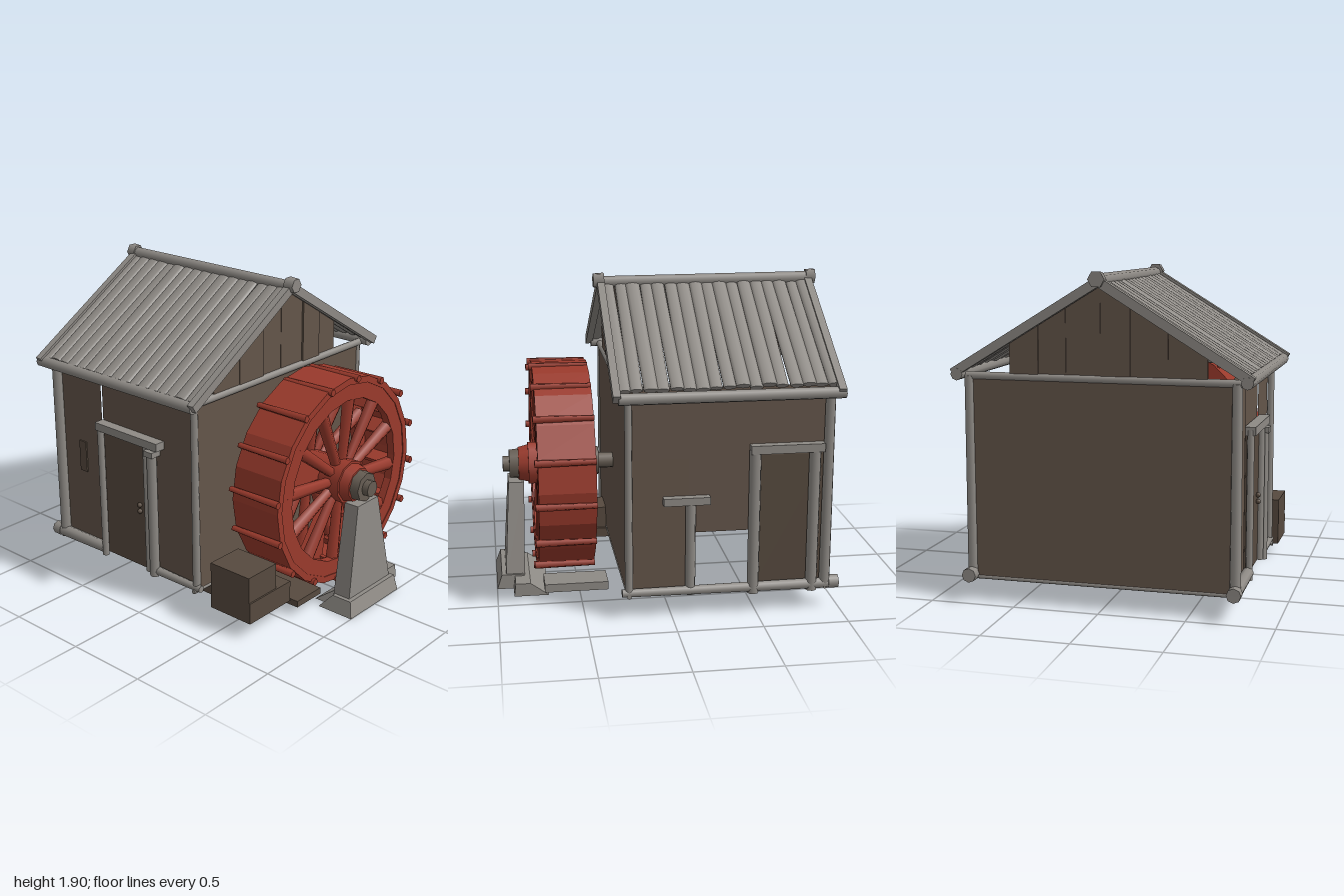
import * as THREE from 'three';

const mat = (name, color) => {
  const m = new THREE.MeshStandardMaterial({ color });
  m.name = name;
  return m;
};

export function createModel() {
  const gray = mat('weatheredTimber', 0x8e8a85);
  const brown = mat('brownBoards', 0x64554a);
  const dark = mat('darkBrown', 0x574a3f);
  const axleWood = mat('axleWood', 0x665d53);
  const red = mat('redPaint', 0x9a3a2c);
  const model = new THREE.Group();
  model.name = 'watermill';

  let seed = 7;
  const rnd = (a) => { // small repeatable jitter in -a..a
    seed = (seed * 16807) % 2147483647;
    return (seed / 2147483647 * 2 - 1) * a;
  };
  const add = (parent, name, geo, m) => {
    const mesh = new THREE.Mesh(geo, m);
    mesh.name = name;
    parent.add(mesh);
    return mesh;
  };
  const group = (name) => {
    const g = new THREE.Group();
    g.name = name;
    model.add(g);
    return g;
  };
  // Box given by its min and max corners
  const box = (parent, name, m, [x0, y0, z0], [x1, y1, z1]) => {
    const b = add(parent, name, new THREE.BoxGeometry(x1 - x0, y1 - y0, z1 - z0), m);
    b.position.set((x0 + x1) / 2, (y0 + y1) / 2, (z0 + z1) / 2);
    return b;
  };
  // Round log between two points
  const log = (parent, name, m, a, b, r0, r1 = r0, sides = 8) => {
    const p = new THREE.Vector3(...a), q = new THREE.Vector3(...b), d = q.clone().sub(p);
    const c = add(parent, name, new THREE.CylinderGeometry(r1, r0, d.length(), sides), m);
    c.position.copy(p).add(q).multiplyScalar(0.5);
    c.quaternion.setFromUnitVectors(new THREE.Vector3(0, 1, 0), d.normalize());
    return c;
  };
  // Box between two heights; each level is [x0, x1, z0, z1]
  const taperedBox = (parent, name, m, y0, y1, low, high) => {
    const g = new THREE.BoxGeometry(1, 1, 1), pos = g.attributes.position;
    for (let i = 0; i < pos.count; i++) {
      const up = pos.getY(i) > 0, l = up ? high : low;
      pos.setXYZ(i, pos.getX(i) > 0 ? l[1] : l[0], up ? y1 : y0, pos.getZ(i) > 0 ? l[3] : l[2]);
    }
    g.computeVertexNormals();
    return add(parent, name, g, m);
  };
  // One-sided wall panel, u range by y range, turned to face outward
  const panel = (parent, name, m, u0, u1, y0, y1, depth, turn) => {
    const p = add(parent, name, new THREE.PlaneGeometry(u1 - u0, y1 - y0), m);
    const u = (u0 + u1) / 2, y = (y0 + y1) / 2;
    p.rotation.y = turn;
    if (Math.abs(Math.sin(turn)) > 0.5) p.position.set(depth, y, u);
    else p.position.set(u, y, depth);
    return p;
  };

  // Walls
  const walls = group('walls');
  panel(walls, 'frontWallLeft', brown, -0.91, -0.54, 0.13, 1.34, 0.74, 0);
  panel(walls, 'frontWallCentre', brown, -0.54, -0.08, 0.13, 1.34, 0.73, 0);
  panel(walls, 'frontWallRight', brown, -0.08, 0.26, 0.13, 1.34, 0.735, 0);
  panel(walls, 'rightWall', brown, -0.77, 0.76, 0.13, 1.31, 0.26, Math.PI / 2);
  panel(walls, 'leftWall', brown, -0.77, 0.76, 0.13, 1.31, -0.92, -Math.PI / 2);
  panel(walls, 'backWallUpper', brown, -0.91, 0.26, 0.95, 1.36, -0.755, Math.PI);
  panel(walls, 'backWallSide', brown, -0.1, 0.26, 0.13, 0.95, -0.75, Math.PI);
  panel(walls, 'backWallMiddle', brown, -0.48, -0.1, 0.5, 0.95, -0.75, Math.PI);
  panel(walls, 'backDoor', dark, -0.91, -0.48, 0.13, 0.95, -0.75, Math.PI);
  const floor = add(walls, 'floor', new THREE.PlaneGeometry(1.18, 1.52), brown);
  floor.rotation.x = Math.PI / 2;
  floor.position.set(-0.33, 0.135, 0);

  // Gable boards, cut to the roof slope
  const roofY = (z) => 1.83 - 0.61 * Math.abs(z);
  for (const x of [0.24, -0.92]) {
    const cuts = [-0.53, -0.36, -0.2, 0, 0.17, 0.38, 0.6];
    for (let i = 0; i < 6; i++) {
      const a = cuts[i] + 0.001, b = cuts[i + 1] - 0.001;
      const s = new THREE.Shape([[-a, 1.3], [-a, roofY(a)], [-b, roofY(b)], [-b, 1.3]]
        .map((p) => new THREE.Vector2(...p)));
      const g = add(walls, 'gableBoard', new THREE.ExtrudeGeometry(s, { depth: 0.015, bevelEnabled: false }), brown);
      g.rotation.y = Math.PI / 2;
      g.position.x = x + rnd(0.008);
    }
  }

  // Timber frame
  const frame = group('timberFrame');
  for (const [x, r] of [[-0.91, 0.033], [0.25, 0.024]]) {
    for (const z of [-0.775, 0.76]) log(frame, 'cornerPost', gray, [x, 0.14, z], [x, 1.31, z], r, r - 0.003);
    log(frame, 'tieBeam', gray, [x, 1.31, -0.8], [x, 1.31, 0.8], 0.023);
    log(frame, 'sideSill', gray, [x, 0.14, -0.8], [x, 0.14, 0.79], 0.014);
  }
  log(frame, 'frontSillLeft', gray, [0.29, 0.162, 0.765], [-0.08, 0.162, 0.765], 0.022, 0.026);
  log(frame, 'frontSillRight', gray, [-0.99, 0.16, 0.765], [-0.53, 0.165, 0.765], 0.038, 0.034);
  log(frame, 'backSill', gray, [-0.99, 0.155, -0.775], [0.29, 0.155, -0.775], 0.034, 0.025);
  for (const z of [-0.775, 0.765]) log(frame, 'sillEnd', gray, [-0.99, 0.162, z], [-0.93, 0.162, z], 0.042);

  // Front door with frame, handle and window slot
  const door = group('frontDoor');
  box(door, 'doorPanel', dark, [-0.51, 0.14, 0.735], [-0.15, 0.98, 0.755]);
  log(door, 'doorPostRight', gray, [-0.525, 0.12, 0.77], [-0.525, 1, 0.77], 0.021);
  log(door, 'doorPostLeft', gray, [-0.135, 0.14, 0.765], [-0.135, 0.97, 0.765], 0.024);
  log(door, 'doorPostLeftOuter', gray, [-0.085, 0.13, 0.775], [-0.085, 0.93, 0.775], 0.03);
  box(door, 'postCap', gray, [-0.12, 0.915, 0.74], [-0.05, 0.95, 0.81]);
  box(door, 'lintel', gray, [-0.54, 0.965, 0.735], [-0.02, 1.015, 0.8]).rotation.z = -0.01;
  for (const y of [0.515, 0.555]) {
    const k = add(door, 'doorKnob', new THREE.SphereGeometry(0.016, 8, 6), dark);
    k.position.set(-0.21, y, 0.765);
  }
  box(door, 'windowSlot', dark, [-0.75, 0.63, 0.74], [-0.69, 0.83, 0.749]);

  // Rear doorway and short ledge post
  const rear = group('rearDoorway');
  for (const x of [-0.48, -0.83]) log(rear, 'rearDoorPost', gray, [x, 0.12, -0.775], [x, 0.99, -0.775], 0.035);
  box(rear, 'rearLintel', gray, [-0.88, 0.97, -0.81], [-0.45, 1.02, -0.74]);
  log(rear, 'ledgePost', gray, [-0.11, 0.13, -0.765], [-0.11, 0.7, -0.765], 0.03);
  box(rear, 'ledge', gray, [-0.22, 0.68, -0.8], [0.05, 0.725, -0.73]);

  // Roof of rounded planks with edge beams
  const roof = group('roof');
  const slope = Math.atan(0.61);
  for (const side of [1, -1]) {
    const zEnd = side > 0 ? 0.82 : 0.79;
    const n = 17, w = 1.28 / n;
    for (let i = 0; i < n; i++) {
      const len = Math.hypot(zEnd, 0.61 * zEnd) + rnd(0.015);
      const r = w * 0.54 + rnd(0.004);
      const p = add(roof, 'roofPlank', new THREE.CylinderGeometry(r + rnd(0.004), r, len, 10), gray);
      p.scale.z = 0.38;
      p.position.set(-0.965 + w * (i + 0.5), 1.842 - 0.61 * zEnd / 2 + rnd(0.005), side * zEnd / 2);
      p.rotation.set(side * (slope - Math.PI / 2), 0, rnd(0.012));
    }
    log(roof, 'eaveBeam', gray, [-0.98, 1.322, side * 0.825], [0.31, 1.322, side * 0.825], 0.035);
    for (const x of [-0.955, 0.32]) {
      const r = box(roof, 'rakeBeam', gray, [-0.022, -0.026, -0.5], [0.022, 0.026, 0.5]);
      r.position.set(x, 1.588, side * 0.425);
      r.rotation.x = side * slope;
    }
  }
  log(roof, 'ridgeBeam', gray, [-0.98, 1.852, 0], [0.36, 1.85, 0], 0.038, 0.034);
  for (const [x0, x1] of [[-1, -0.945], [0.3, 0.365]]) {
    log(roof, 'ridgeEnd', gray, [x0, 1.86, 0], [x1, 1.86, 0], 0.048, 0.044, 6);
  }

  // Water wheel, built about local z and turned to face +x
  const wheel = group('waterWheel');
  wheel.position.set(0.585, 0.735, -0.015);
  wheel.rotation.y = Math.PI / 2;
  const ring = (name, ro, ri, z0, z1) => {
    const s = new THREE.Shape().absarc(0, 0, ro, 0, 2 * Math.PI, false);
    s.holes.push(new THREE.Path().absarc(0, 0, ri, 0, 2 * Math.PI, true));
    const g = new THREE.ExtrudeGeometry(s, { depth: z1 - z0, bevelEnabled: false, curveSegments: 10 });
    add(wheel, name, g, red).position.z = z0;
  };
  ring('drum', 0.64, 0.6, -0.17, 0.165);
  ring('outerRim', 0.635, 0.505, 0.11, 0.16);
  ring('innerRim', 0.635, 0.505, -0.17, -0.13);
  // Solid wedges filling gaps between spokes
  for (const a of [2.5, 4.07]) {
    add(wheel, 'wheelPanel', new THREE.RingGeometry(0.1, 0.56, 4, 1, a, 0.52), red).position.z = 0.05;
  }
  // Flat spokes that widen outward
  for (let i = 0; i < 12; i++) {
    const a = i * Math.PI / 6 - 0.12, c = Math.cos(a), s = Math.sin(a);
    for (const z of [0.12, -0.12]) {
      log(wheel, 'spoke', red, [0.09 * c, 0.09 * s, z], [0.55 * c, 0.55 * s, z], 0.03, 0.042, 6);
    }
  }
  // Paddles around the drum
  for (let i = 0; i < 16; i++) {
    const a = i * Math.PI / 8 - 0.11, c = Math.cos(a), s = Math.sin(a), r = Math.abs(s) > 0.8 ? 0.63 : 0.66;
    log(wheel, 'paddleBar', red, [r * c, r * s, -0.17], [r * c, r * s, 0.185], 0.018, 0.023, 5);
    const b = add(wheel, 'bucketBoard', new THREE.BoxGeometry(0.12, 0.02, 0.3), red);
    b.position.set(0.565 * c, 0.565 * s, 0);
    b.rotation.z = a + 0.4;
  }
  log(wheel, 'hub', red, [0, 0, -0.16], [0, 0, 0.2], 0.125, 0.135, 10);
  log(wheel, 'hubCollar', red, [0, 0, 0.2], [0, 0, 0.26], 0.12, 0.105, 10);

  // Axle and bearing
  const axle = group('axle');
  const Y = 0.735, Z = -0.015;
  log(axle, 'axleShaft', axleWood, [0.25, Y, Z], [0.94, Y, Z], 0.05);
  log(axle, 'axleCollar', axleWood, [0.35, Y, Z], [0.425, Y, Z], 0.09);
  log(axle, 'bearing', axleWood, [0.8, Y, Z], [0.9, Y, Z], 0.1, 0.09);

  // Tapered outer support on a sloping base
  const support = group('wheelSupport');
  taperedBox(support, 'supportPillar', gray, 0.06, 0.645, [0.83, 0.945, -0.23, 0.19], [0.815, 0.91, -0.12, 0.08]);
  taperedBox(support, 'supportFoot', gray, 0, 0.09, [0.76, 1, -0.24, 0.24], [0.84, 0.97, -0.24, 0.21]);
  taperedBox(support, 'supportToe', gray, 0, 0.08, [0.69, 0.9, -0.37, 0.18], [0.8, 0.89, -0.37, 0.15]);

  // Stone blocks and channel slabs beneath the wheel
  const stones = group('stones');
  box(stones, 'largeBlock', dark, [0.4, 0.22, 0.56], [0.69, 0.39, 0.8]);
  box(stones, 'largeBlockBase', dark, [0.4, 0.1, 0.44], [0.7, 0.23, 0.8]);
  box(stones, 'sideBlock', dark, [0.25, 0.1, 0.42], [0.41, 0.27, 0.64]);
  box(stones, 'channelSlab', dark, [0.17, 0.07, 0.4], [0.4, 0.13, 0.65]);
  box(stones, 'channelSlab', dark, [0.4, 0.06, 0.2], [0.74, 0.1, 0.42]);
  box(stones, 'rearSlab', gray, [0.34, 0.07, -0.5], [0.72, 0.12, -0.32]);
  return model;
}
